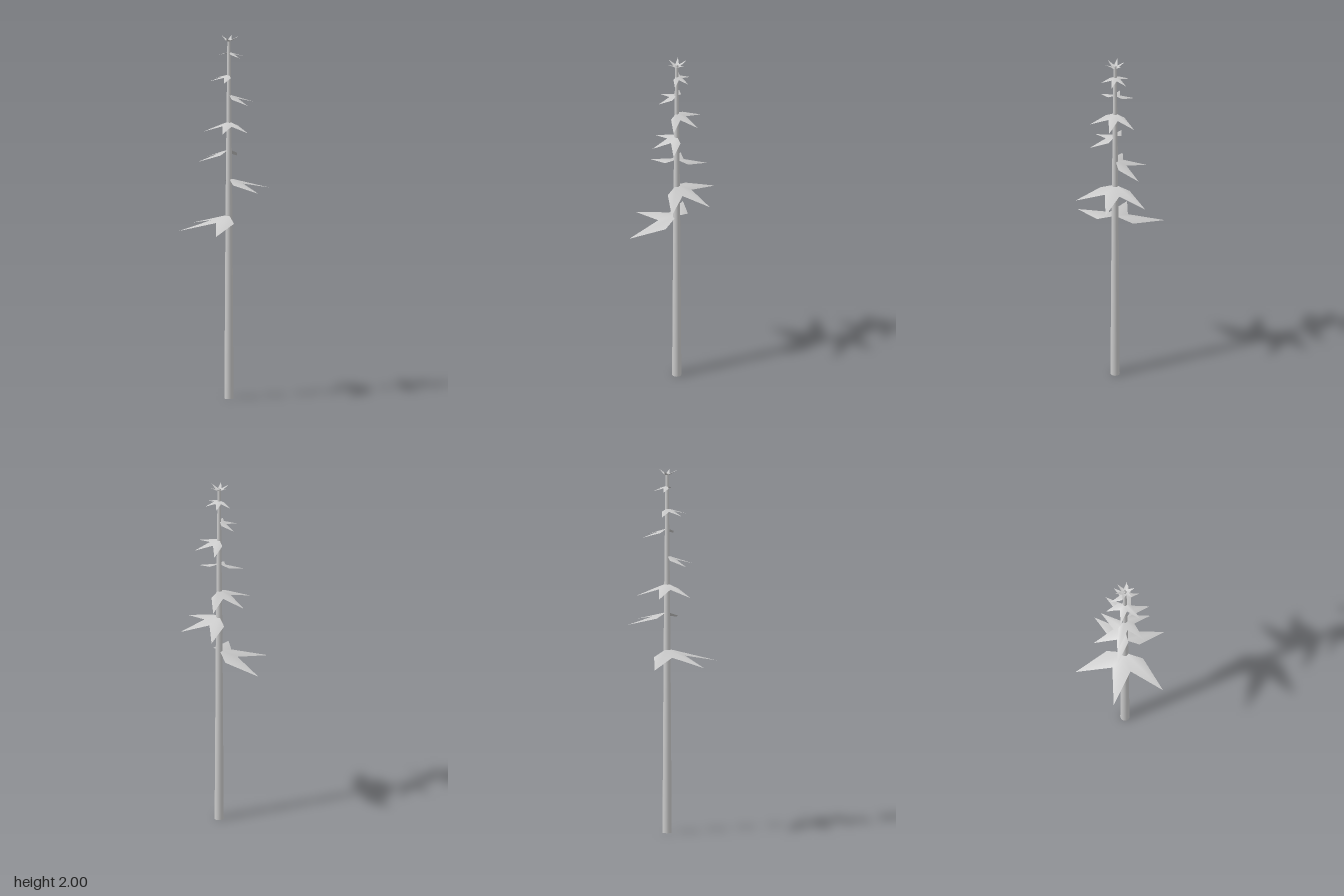
import * as THREE from 'three';

const AXIS_X = 0.024, AXIS_Z = -0.03;
const DEG = Math.PI / 180;

// Shallow star-shaped leaf cluster: a fan of pointed leaves around the stem axis.
// heading is the angle of the middle of the fan, measured from +x towards +z.
function leafFan(name, peakY, tipY, radius, heading, leaves, material) {
  const start = heading - leaves * 30;
  const notch = 0.36;
  const positions = [0, peakY, 0];
  const index = [];
  for (let i = 0; i <= leaves * 2; i++) {
    const isTip = i % 2 === 1; // tips alternate with notches
    const f = isTip ? 1 : notch;
    const sag = isTip ? 0 : 0.025 * radius; // notches sit low, so each leaf has a ridge
    const a = (start + i * 30) * DEG;
    positions.push(
      Math.cos(a) * radius * f,
      peakY + (tipY - peakY) * f - sag,
      Math.sin(a) * radius * f
    );
    if (i > 0) index.push(0, i + 1, i);
  }
  const geometry = new THREE.BufferGeometry();
  geometry.setAttribute('position', new THREE.Float32BufferAttribute(positions, 3));
  geometry.setIndex(index);
  geometry.computeVertexNormals();
  const mesh = new THREE.Mesh(geometry, material);
  mesh.name = name;
  return mesh;
}

export function createModel() {
  const model = new THREE.Group();
  model.name = 'leafyStalk';
  const stemMaterial = new THREE.MeshStandardMaterial({ color: 0xcccccc });
  const leafMaterial = new THREE.MeshStandardMaterial({ color: 0xcccccc, side: THREE.DoubleSide });

  // Tapered stem with softly shaded ends
  const profile = [[0, 0], [0.0255, 0], [0.0185, 1.1], [0.009, 1.98], [0, 1.983]]
    .map(([r, y]) => new THREE.Vector2(r, y));
  const stem = new THREE.Mesh(new THREE.LatheGeometry(profile, 16), stemMaterial);
  stem.name = 'stem';
  model.add(stem);

  // Drooping clusters: peak height, tip height, radius, heading in degrees, leaves
  const clusters = [
    [1.016, 0.938, 0.282, 150, 3],
    [1.218, 1.156, 0.226, -30, 3],
    [1.377, 1.314, 0.178, 210, 3],
    [1.531, 1.481, 0.145, 90, 3],
    [1.68, 1.633, 0.143, -30, 3],
    [1.791, 1.757, 0.11, 150, 3],
    [1.915, 1.888, 0.082, -60, 4],
  ];
  clusters.forEach(([peak, tip, radius, heading, leaves], i) => {
    model.add(leafFan(`leafCluster${i + 1}`, peak, tip, radius, heading, leaves, leafMaterial));
  });

  // Upturned full star at the top
  model.add(leafFan('crownLeaves', 1.97, 2.0, 0.056, 0, 6, leafMaterial));

  // The stem stands slightly off centre so the whole outline is centred
  model.children.forEach((part) => {
    part.position.x = AXIS_X;
    part.position.z = AXIS_Z;
  });
  return model;
}
